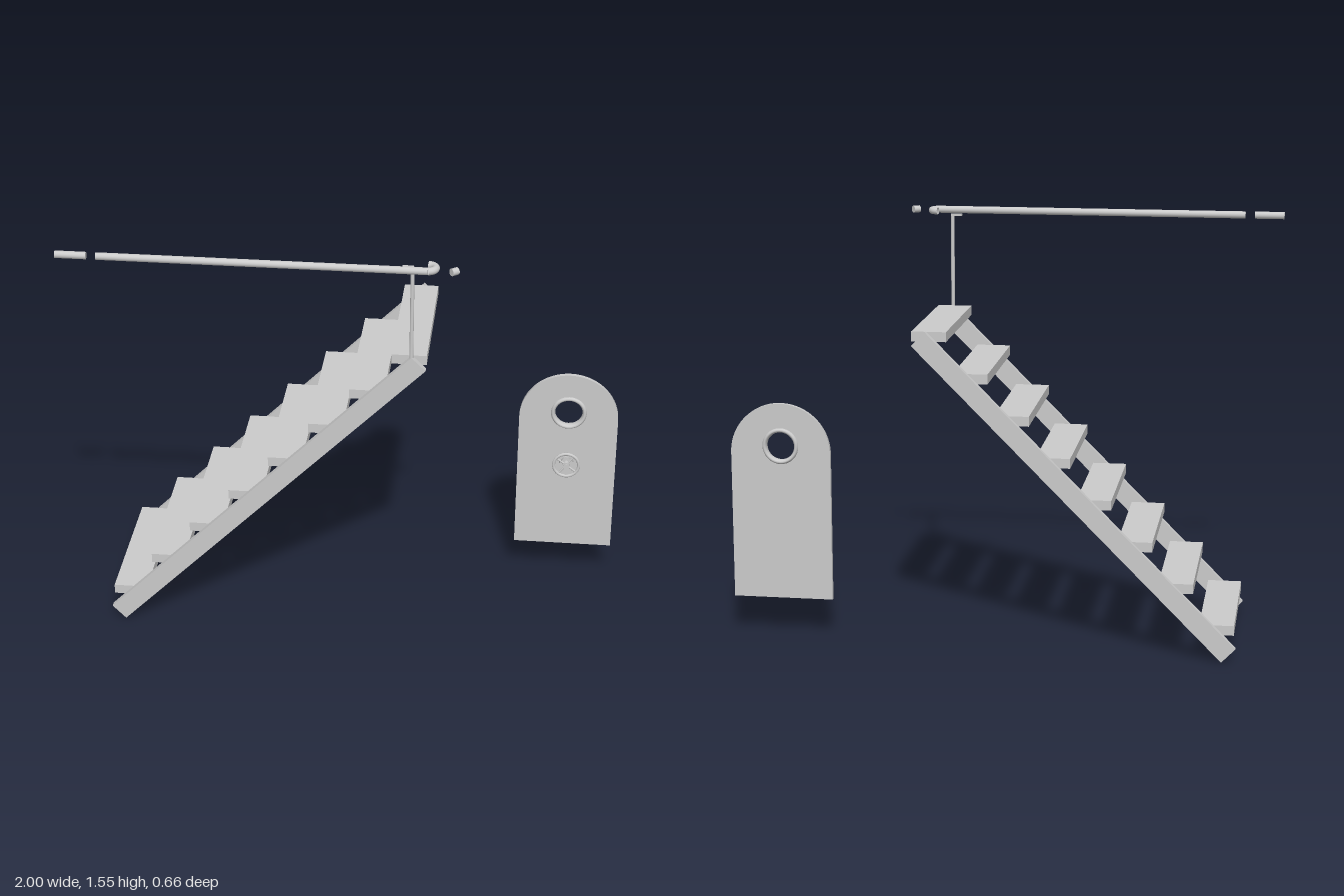
import * as THREE from 'three';

const material = new THREE.MeshStandardMaterial({ color: 0xcccccc, side: THREE.DoubleSide });

function add(parent, name, geometry, x = 0, y = 0, z = 0) {
  const mesh = new THREE.Mesh(geometry, material);
  mesh.name = name;
  mesh.position.set(x, y, z);
  parent.add(mesh);
  return mesh;
}

// Straight capped bar between two points
function bar(parent, name, a, b, radius, sides = 14) {
  const from = new THREE.Vector3(...a), to = new THREE.Vector3(...b);
  const dir = to.clone().sub(from);
  const mesh = add(parent, name, new THREE.CylinderGeometry(radius, radius, dir.length(), sides));
  mesh.position.copy(from).add(to).multiplyScalar(0.5);
  mesh.quaternion.setFromUnitVectors(new THREE.Vector3(0, 1, 0), dir.normalize());
  return mesh;
}

function createStairs() {
  const stairs = new THREE.Group();
  stairs.name = 'stairs';

  // Sloping side beams
  const profile = new THREE.Shape([[-0.83, 0], [0.298, 1.132], [0.247, 1.182], [-0.88, 0.052]]
    .map(([x, y]) => new THREE.Vector2(x, y)));
  const beam = new THREE.ExtrudeGeometry(profile, { depth: 0.023, bevelEnabled: false });
  add(stairs, 'leftStringer', beam, 0, 0, 0.255);
  add(stairs, 'rightStringer', beam, 0, 0, -0.333);

  // Treads
  const tread = new THREE.BoxGeometry(0.126, 0.036, 0.567);
  for (let i = 0; i < 8; i++) {
    add(stairs, 'tread', tread, -0.81 + i * 0.1496, 0.115 + i * 0.1497, -0.028);
  }
  return stairs;
}

function createHandrail() {
  const rail = new THREE.Group();
  rail.name = 'handrail';
  const y = 1.54, z = 0.314, r = 0.0135;

  bar(rail, 'railEnd', [-1, y, z], [-0.89, y, z], r);
  bar(rail, 'mainRail', [-0.855, y, z], [0.302, y, z], r);

  // Hooked end of the rail
  const points = [];
  for (let i = 0; i <= 8; i++) {
    const a = Math.PI / 2 - (i / 8) * Math.PI;
    points.push(new THREE.Vector3(0.302 + 0.026 * Math.cos(a), y, 0.288 + 0.026 * Math.sin(a)));
  }
  add(rail, 'railHook', new THREE.TubeGeometry(new THREE.CatmullRomCurve3(points), 24, r, 14));
  add(rail, 'hookCap', new THREE.CircleGeometry(r, 14), 0.302, y, 0.262).rotation.y = -Math.PI / 2;

  // Detached diagonal piece
  bar(rail, 'railPiece', [0.383, y, 0.315], [0.403, y, 0.299], r);

  // Post and its top bracket
  bar(rail, 'post', [0.246, 1.17, 0.266], [0.246, 1.53, 0.266], 0.007, 12);
  add(rail, 'postBracket', new THREE.BoxGeometry(0.04, 0.008, 0.016), 0.23, 1.527, 0.262);
  return rail;
}

function createDoor() {
  const door = new THREE.Group();
  door.name = 'door';
  door.position.set(0.811, 0, -0.219);

  // Arched panel with a round window opening
  const outline = new THREE.Shape();
  outline.moveTo(-0.187, 0.14);
  outline.lineTo(0.187, 0.14);
  outline.lineTo(0.187, 0.695);
  outline.absarc(0, 0.695, 0.187, 0, Math.PI, false);
  outline.closePath();
  const hole = new THREE.Path();
  hole.absarc(0, 0.722, 0.056, 0, Math.PI * 2, true);
  outline.holes.push(hole);
  add(door, 'panel', new THREE.ExtrudeGeometry(outline,
    { depth: 0.016, bevelEnabled: false, curveSegments: 24 }), 0, 0, -0.008);

  // Rounded window frame, proud on both faces
  const frame = [];
  for (let i = 0; i <= 12; i++) {
    const a = (i / 12) * Math.PI * 2;
    frame.push(new THREE.Vector2(0.06 + 0.009 * Math.cos(a), 0.017 * Math.sin(a)));
  }
  add(door, 'windowFrame', new THREE.LatheGeometry(frame, 36), 0, 0.722, 0).rotation.x = Math.PI / 2;

  // Handwheel on the front
  const wheel = new THREE.Group();
  wheel.name = 'handwheel';
  wheel.position.set(0, 0.51, 0);
  wheel.rotation.z = 0.15;
  door.add(wheel);
  bar(wheel, 'wheelBase', [0, 0, 0.006], [0, 0, 0.019], 0.027, 4);
  bar(wheel, 'wheelShaft', [0, 0, 0.015], [0, 0, 0.046], 0.009);
  bar(wheel, 'wheelHub', [0, 0, 0.032], [0, 0, 0.044], 0.014);
  add(wheel, 'wheelRim', new THREE.TorusGeometry(0.048, 0.006, 10, 32), 0, 0, 0.037);
  for (let i = 0; i < 2; i++) {
    const a = i * Math.PI / 2 + Math.PI / 4;
    const dx = 0.047 * Math.cos(a), dy = 0.047 * Math.sin(a);
    bar(wheel, 'wheelSpoke', [-dx, -dy, 0.037], [dx, dy, 0.037], 0.004, 8);
  }
  return door;
}

export function createModel() {
  const model = new THREE.Group();
  model.name = 'stairsWithRailAndDoor';
  model.add(createStairs(), createHandrail(), createDoor());
  return model;
}
